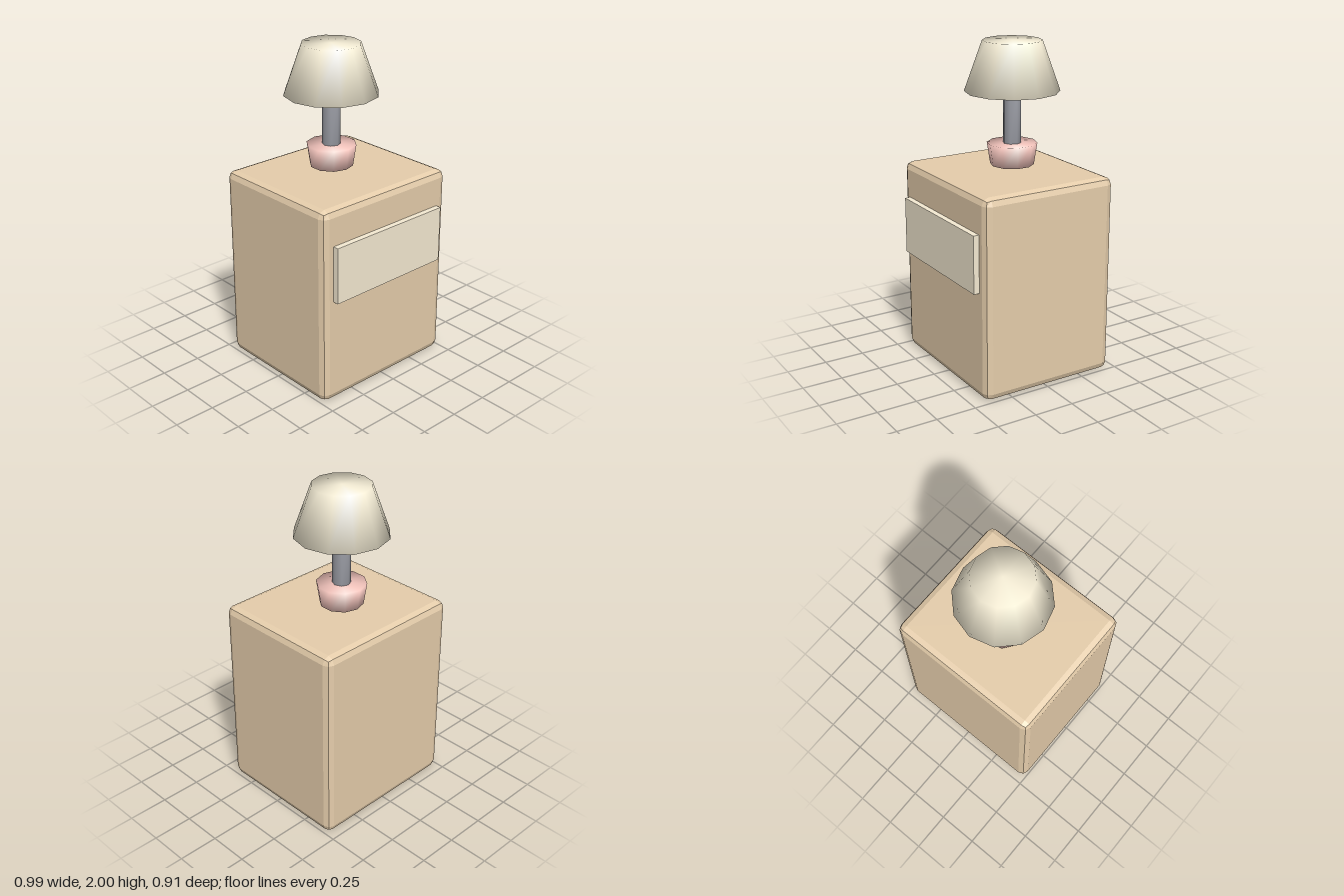
import * as THREE from 'three';
import { mergeVertices } from 'three/addons/utils/BufferGeometryUtils.js';
import { RoundedBoxGeometry } from 'three/addons/geometries/RoundedBoxGeometry.js';

const LAMP_Z = -0.06;

function part(name, geometry, color, x, y, z) {
  const mesh = new THREE.Mesh(geometry, new THREE.MeshStandardMaterial({ color }));
  mesh.name = name;
  mesh.position.set(x, y, z);
  return mesh;
}

// Closed low-poly frustum, shaded smoothly across its rims and caps
function softFrustum(name, topRadius, bottomRadius, y0, y1, sides, color) {
  const raw = new THREE.CylinderGeometry(topRadius, bottomRadius, y1 - y0, sides);
  raw.deleteAttribute('normal');
  raw.deleteAttribute('uv');
  const geometry = mergeVertices(raw);
  geometry.computeVertexNormals();
  return part(name, geometry, color, 0, (y0 + y1) / 2, LAMP_Z);
}

export function createModel() {
  const model = new THREE.Group();
  model.name = 'bedsideCabinetWithLamp';

  // Cabinet body with faceted two-step bevels
  const bodyGeometry = new RoundedBoxGeometry(0.985, 1.23, 0.875, 1, 0.045);
  bodyGeometry.computeVertexNormals();
  const body = part('cabinetBody', bodyGeometry, 0xe5cdab, 0, 0.615, -0.018);
  body.material.flatShading = true;
  model.add(body);

  // Drawer front
  model.add(part('drawerFront', new THREE.BoxGeometry(0.835, 0.35, 0.06), 0xf5ead2, 0, 0.836, 0.425));

  // Lamp: base, stem and shade
  model.add(softFrustum('lampBase', 0.152, 0.132, 1.255, 1.387, 10, 0xf8c8c0));
  model.add(softFrustum('lampStem', 0.055, 0.055, 1.385, 1.702, 8, 0x9a9ca4));
  model.add(softFrustum('lampShade', 0.177, 0.285, 1.7, 2.0, 12, 0xf8f0d8));

  return model;
}
